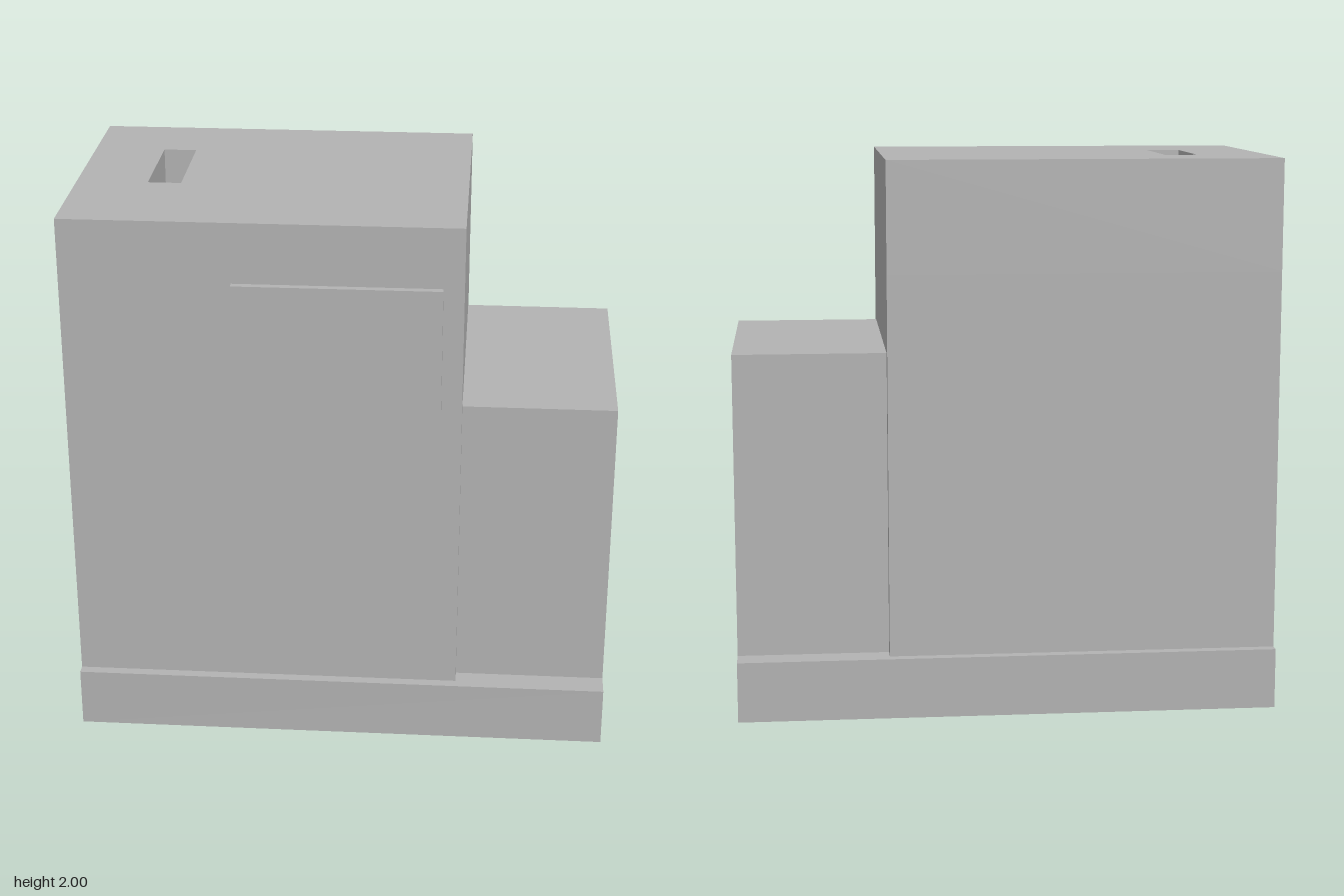
import * as THREE from 'three';

export function createModel() {
  const model = new THREE.Group();
  const grey = new THREE.MeshStandardMaterial({ color: 0xb2b2b2 });
  grey.name = 'grey';

  const add = (name, geometry) => {
    const mesh = new THREE.Mesh(geometry, grey);
    mesh.name = name;
    model.add(mesh);
  };
  // Box given by its lower and upper limits on each axis
  const block = (name, [x0, x1], [y0, y1], [z0, z1]) => {
    const g = new THREE.BoxGeometry(x1 - x0, y1 - y0, z1 - z0);
    add(name, g.translate((x0 + x1) / 2, (y0 + y1) / 2, (z0 + z1) / 2));
  };
  // Rectangle in plan; shape y is -z
  const trace = (path, x0, x1, z0, z1) => {
    path.moveTo(x0, -z1);
    path.lineTo(x1, -z1);
    path.lineTo(x1, -z0);
    path.lineTo(x0, -z0);
    path.closePath();
    return path;
  };

  const slotFloor = 1.6;

  // Plinth, main cabinet and lower side cabinet
  block('base', [-0.977, 0.977], [0, 0.22], [-0.582, 0.582]);
  block('cabinetBody', [-0.977, 0.43], [0.22, slotFloor], [-0.545, 0.545]);
  block('sideCabinet', [0.43, 0.977], [0.22, 1.317], [-0.487, 0.487]);

  // Cabinet top with the slot cut into it
  const plan = trace(new THREE.Shape(), -0.977, 0.43, -0.545, 0.545);
  plan.holes.push(trace(new THREE.Path(), -0.72, -0.6, -0.26, 0.13));
  const top = new THREE.ExtrudeGeometry(plan, { depth: 2 - slotFloor, bevelEnabled: false });
  add('cabinetTop', top.rotateX(-Math.PI / 2).translate(0, slotFloor, 0));

  // Raised panel on the front
  block('frontPanel', [-0.375, 0.357], [1.295, 1.78], [0.545, 0.571]);

  return model;
}
